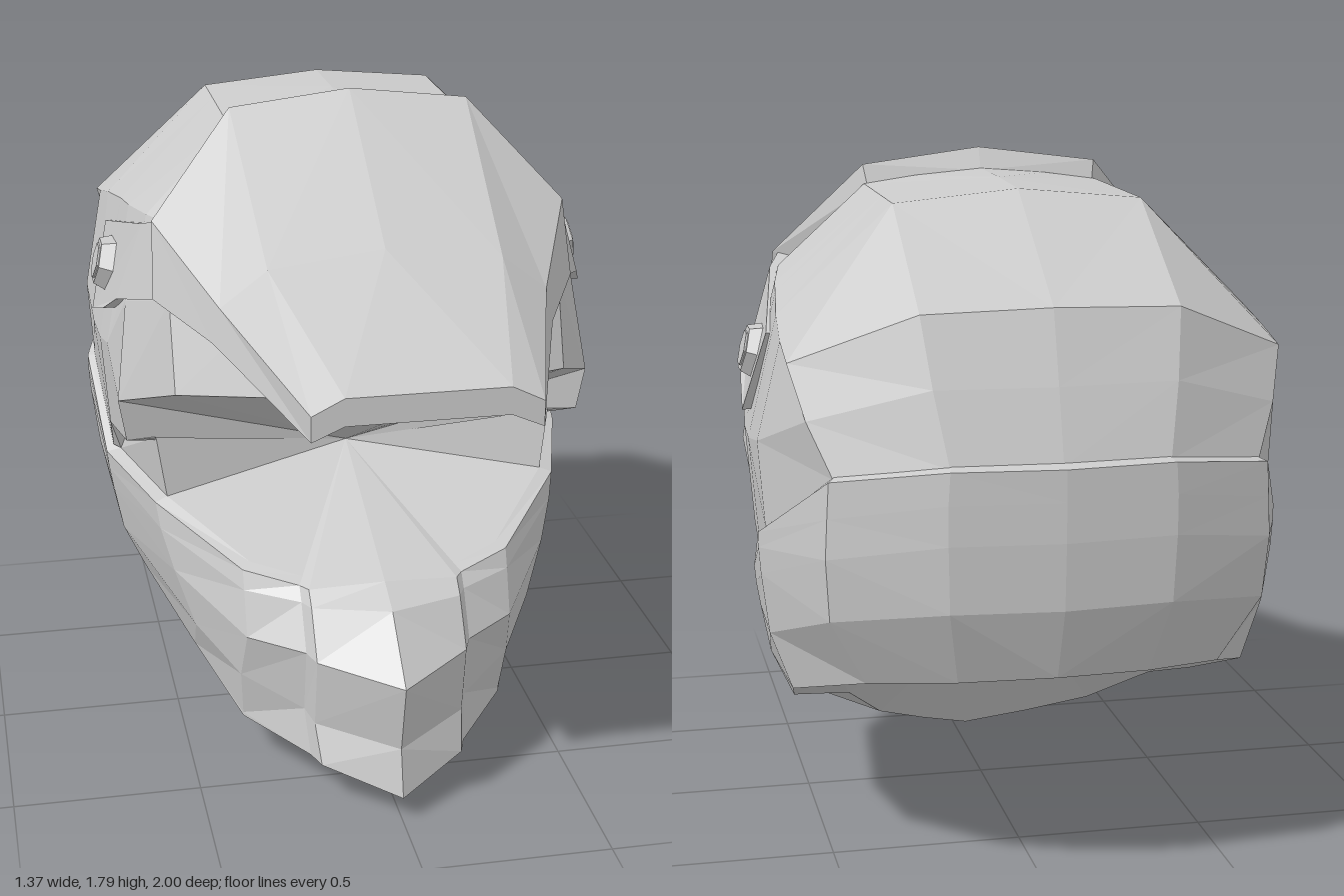
import * as THREE from 'three';

const material = new THREE.MeshStandardMaterial({ color: 0xcccccc, flatShading: true, side: THREE.DoubleSide });

// Skins neighbouring columns of [x, y, z] points (front to back on the +x half) and mirrors them.
function mirroredSkin(name, columns) {
  const pos = [];
  const tri = (a, b, c) => {
    const [A, B, C] = [a, b, c].map(p => new THREE.Vector3(...p));
    if (B.clone().sub(A).cross(C.clone().sub(A)).length() < 1e-6) return;
    pos.push(...a, ...b, ...c);
    for (const p of [a, c, b]) pos.push(-p[0], p[1], p[2]);
  };
  for (let i = 0; i < columns.length - 1; i++) {
    const p = columns[i], q = columns[i + 1];
    for (let j = 0; j < p.length - 1; j++) {
      tri(p[j], p[j + 1], q[j + 1]);
      tri(p[j], q[j + 1], q[j]);
    }
  }
  const geometry = new THREE.BufferGeometry();
  geometry.setAttribute('position', new THREE.Float32BufferAttribute(pos, 3));
  geometry.computeVertexNormals();
  const mesh = new THREE.Mesh(geometry, material);
  mesh.name = name;
  return mesh;
}

// Upper shell columns: crown, ridge, middle, lower edge
const upper = [
  [[0, 1.735, 0], [0, 1.5, 0.3], [0, 1.3, 0.43], [0, 1.1, 0.49]],
  [[0.18, 1.72, 0], [0.28, 1.49, 0.26], [0.3, 1.3, 0.38], [0.3, 1.095, 0.45]],
  [[0.32, 1.7, 0], [0.49, 1.48, 0.17], [0.52, 1.31, 0.27], [0.52, 1.08, 0.35]],
  [[0.32, 1.7, 0], [0.55, 1.48, 0.05], [0.615, 1.25, 0.07], [0.65, 0.99, 0.13]],
  [[0.32, 1.7, -0.2], [0.58, 1.46, -0.12], [0.66, 1.1, -0.03], [0.63, 0.87, 0.12]],
  [[0.32, 1.7, -0.3], [0.59, 1.45, -0.22], [0.67, 1.08, -0.14], [0.65, 0.82, -0.15]],
  [[0.32, 1.7, -0.46], [0.61, 1.42, -0.4], [0.675, 1.08, -0.28], [0.64, 0.73, -0.2]],
  [[0.32, 1.7, -0.46], [0.62, 1.38, -0.56], [0.675, 1.12, -0.5], [0.66, 0.9, -0.51]],
  [[0.32, 1.7, -0.46], [0.62, 1.35, -0.69], [0.585, 1.22, -0.76], [0.53, 1.09, -0.825]],
  [[0.32, 1.7, -0.46], [0.32, 1.48, -0.83], [0.3, 1.31, -0.89], [0.27, 1.13, -0.945]],
  [[0, 1.73, -0.46], [0, 1.49, -0.85], [0, 1.31, -0.91], [0, 1.13, -0.965]],
];

// Lower shell columns: top rim, shoulder, upper band, lower band, bottom edge
const lower = [
  [[0, 0.58, 0.52], [0, 0.54, 0.62], [0, 0.4, 0.79], [0, 0.2, 0.74], [0, 0.07, 0.77]],
  [[0.2, 0.565, 0.5], [0.2, 0.53, 0.54], [0.2, 0.41, 0.62], [0.2, 0.21, 0.58], [0.19, 0.11, 0.63]],
  [[0.22, 0.565, 0.47], [0.22, 0.53, 0.5], [0.22, 0.415, 0.57], [0.22, 0.23, 0.53], [0.21, 0.11, 0.57]],
  [[0.36, 0.59, 0.4], [0.36, 0.54, 0.42], [0.36, 0.42, 0.46], [0.37, 0.28, 0.4], [0.36, 0.14, 0.36]],
  [[0.56, 0.69, 0.14], [0.55, 0.62, 0.16], [0.52, 0.51, 0.2], [0.47, 0.36, 0.24], [0.46, 0.24, 0.12]],
  [[0.66, 0.71, -0.2], [0.655, 0.66, -0.2], [0.645, 0.6, -0.2], [0.62, 0.47, -0.2], [0.56, 0.34, -0.2]],
  [[0.68, 0.89, -0.52], [0.68, 0.85, -0.52], [0.675, 0.78, -0.52], [0.655, 0.62, -0.51], [0.6, 0.47, -0.52]],
  [[0.545, 1.09, -0.85], [0.55, 1, -0.85], [0.555, 0.9, -0.85], [0.545, 0.74, -0.835], [0.45, 0.56, -0.78]],
  [[0.275, 1.13, -0.975], [0.28, 1.05, -0.975], [0.28, 0.95, -0.975], [0.275, 0.78, -0.965], [0.24, 0.58, -0.88]],
  [[0, 1.13, -1], [0, 1.05, -1], [0, 0.95, -1], [0, 0.78, -0.99], [0, 0.59, -0.92]],
];

// Chin underside and inner neck rim, one point per lower column
const underside = [[0, 0, 0.62], [0.1, 0.035, 0.55], [0.18, 0.065, 0.49], [0.36, 0.13, 0.36]];
const neckRim = [
  [0, 0.07, 0.22], [0, 0.07, 0.22], [0, 0.07, 0.22], [0.15, 0.14, 0.09], [0.3, 0.22, -0.05],
  [0.42, 0.36, -0.27], [0.48, 0.5, -0.5], [0.38, 0.6, -0.7], [0.2, 0.63, -0.78], [0, 0.63, -0.8],
];

// Visor columns: rear, middle and front outside, then front, middle and rear inside
const visor = [
  [[0, 1.79, 0.03], [0, 1.49, 0.5], [0, 1.295, 1], [0, 1.225, 1], [0, 1.42, 0.5], [0, 1.73, 0]],
  [[0.32, 1.75, 0.02], [0.3, 1.455, 0.51], [0.2, 1.295, 1], [0.2, 1.225, 1], [0.28, 1.385, 0.51], [0.31, 1.69, 0]],
  [[0.55, 1.5, 0.18], [0.42, 1.36, 0.5], [0.28, 1.255, 1], [0.28, 1.19, 1], [0.39, 1.3, 0.5], [0.51, 1.48, 0.16]],
  [[0.56, 1.31, 0.25], [0.44, 1.27, 0.5], [0.28, 1.19, 1], [0.28, 1.19, 1], [0.42, 1.265, 0.5], [0.53, 1.31, 0.25]],
];

// Side arm of the visor: a plate bent to follow the shell
function createArm() {
  const outline = [[0.25, 1.31], [0.05, 1.25], [-0.03, 1.2], [-0.21, 1.14], [-0.32, 1.36], [0.1, 1.47], [0.18, 1.5]];
  const shape = new THREE.Shape(outline.map(([z, y]) => new THREE.Vector2(z, y)));
  const geometry = new THREE.ExtrudeGeometry(shape, { depth: 0.06, bevelEnabled: false });
  const p = geometry.attributes.position;
  for (let i = 0; i < p.count; i++) {
    const z = p.getX(i), y = p.getY(i);
    const x = 0.655 + (1.25 - y) * 0.25 - 0.33 * Math.max(0, z) - p.getZ(i);
    p.setXYZ(i, x, y, z);
  }
  // Mapping depth to -x keeps the faces' winding
  geometry.computeVertexNormals();
  return new THREE.Mesh(geometry, material);
}

// Hexagonal pivot bolt with a raised centre
function createBolt() {
  const bolt = new THREE.Group();
  const base = new THREE.Mesh(new THREE.CylinderGeometry(0.065, 0.08, 0.04, 6), material);
  const cap = new THREE.Mesh(new THREE.CylinderGeometry(0.05, 0.05, 0.01, 6), material);
  cap.position.y = 0.02;
  bolt.add(base, cap);
  bolt.rotation.z = -Math.PI / 2 + 0.24;
  bolt.position.set(0.65, 1.29, -0.16);
  return bolt;
}

export function createModel() {
  const helmet = new THREE.Group();
  helmet.name = 'helmet';

  const crown = [0, 1.735, -0.23];
  helmet.add(mirroredSkin('upperShell', upper.map(c => [crown, ...c])));

  // Lower shell with its rim ledge, underside and neck cavity
  const ledge = lower.map(([[x, y, z]]) => [x * 0.94, y + 0.012, z * 0.94]);
  const neck = [0, 0.65, -0.36];
  helmet.add(mirroredSkin('lowerShell', lower.map((c, i) =>
    [ledge[i], ...c, underside[i] ?? c[4], neckRim[i], neck])));

  // Recessed lining of the face opening
  const inner = [0, 0.77, -0.02];
  const cheekFront = [0.55, 0.87, 0.115], cheekRear = [0.59, 0.82, -0.15];
  const opening = [...ledge.slice(0, 5), cheekFront, ...[4, 3, 2, 1, 0].map(i => upper[i][3])];
  helmet.add(mirroredSkin('faceOpening', opening.map(p => [inner, p])));

  // Notch under the cheek, set in from the shell
  helmet.add(mirroredSkin('cheekNotch', [
    [upper[4][3], cheekFront, ledge[4]],
    [upper[5][3], cheekRear, ledge[5]],
    [upper[6][3], ledge[5], ledge[5]],
  ]));

  helmet.add(mirroredSkin('visor', visor.map(c => [...c, c[0]])));

  for (const side of [1, -1]) {
    const mount = new THREE.Group();
    mount.name = side > 0 ? 'leftVisorMount' : 'rightVisorMount';
    const arm = createArm(), bolt = createBolt();
    arm.name = 'visorArm';
    bolt.name = 'pivotBolt';
    mount.add(arm, bolt);
    mount.scale.x = side;
    helmet.add(mount);
  }
  return helmet;
}
